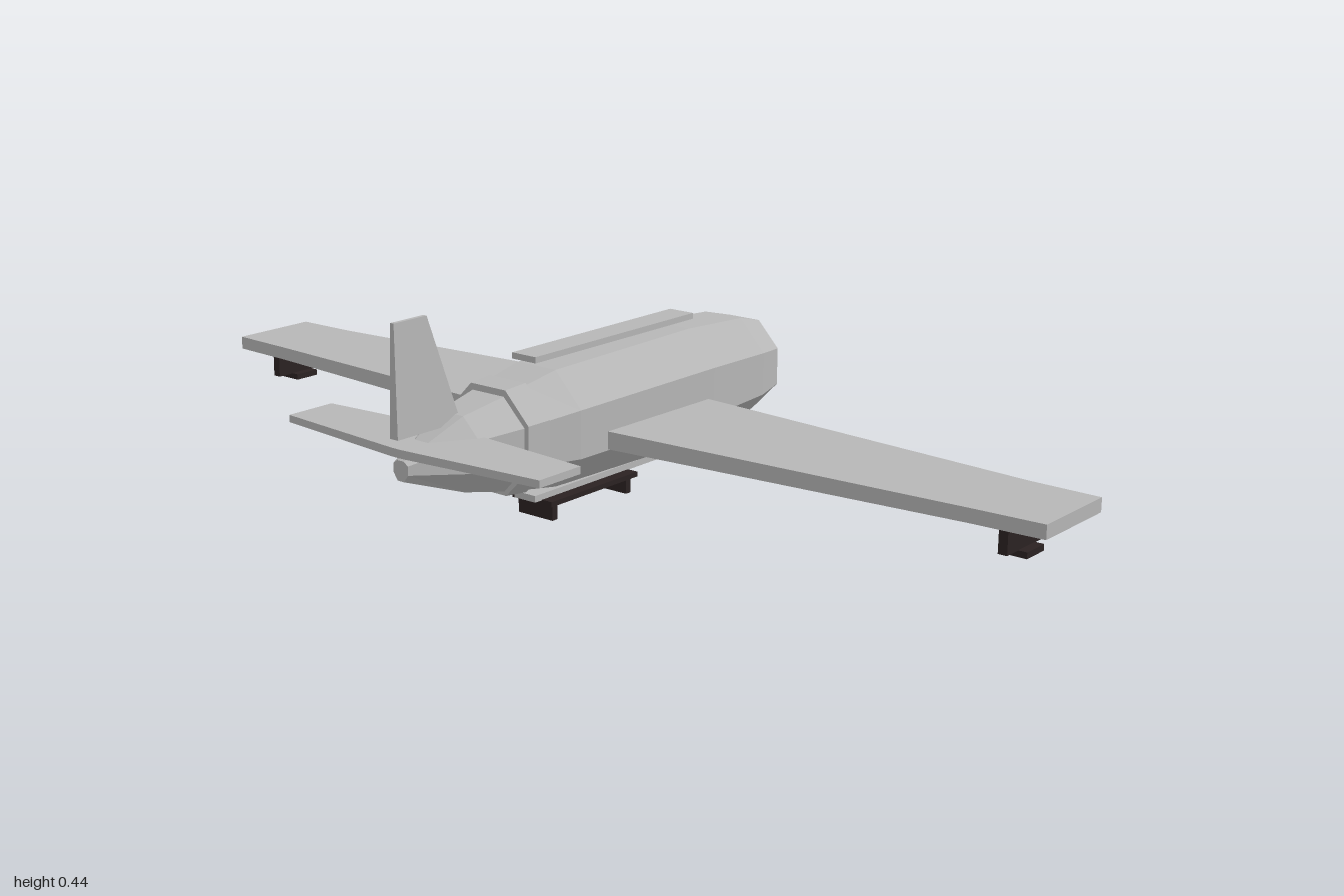
import * as THREE from 'three';

const grey = new THREE.MeshStandardMaterial({ color: 0xb6b6b6, flatShading: true });
grey.name = 'airframeGrey';
const dark = new THREE.MeshStandardMaterial({ color: 0x2b2222, flatShading: true });
dark.name = 'gearDark';

// Skin a row of equal-length rings ([x, y, z] corners) and close both ends.
function loft(rings) {
  const n = rings[0].length;
  const tris = [];
  for (let r = 0; r < rings.length - 1; r++) {
    for (let i = 0; i < n; i++) {
      const j = (i + 1) % n;
      const [a, b, c, d] = [rings[r][i], rings[r][j], rings[r + 1][j], rings[r + 1][i]];
      tris.push([a, b, c], [a, c, d]);
    }
  }
  const last = rings[rings.length - 1];
  for (let i = 1; i < n - 1; i++) {
    tris.push([rings[0][0], rings[0][i + 1], rings[0][i]], [last[0], last[i], last[i + 1]]);
  }
  // Turn the faces outward if the enclosed volume comes out negative
  const v = tris.map(t => t.map(p => new THREE.Vector3(...p)));
  const o = v[0][0].clone();
  const volume = v.reduce((s, [a, b, c]) =>
    s + a.clone().sub(o).dot(b.clone().sub(o).cross(c.clone().sub(o))), 0);
  if (volume < 0) tris.forEach(t => t.reverse());
  const geo = new THREE.BufferGeometry();
  geo.setAttribute('position', new THREE.Float32BufferAttribute(tris.flat(2), 3));
  geo.computeVertexNormals();
  return geo;
}

// Octagon across the body: x, top, upper crease, lower crease, bottom, half width
function octagon([x, top, up, low, bottom, w]) {
  const f = w * 0.43;
  return [[x, top, f], [x, up, w], [x, low, w], [x, bottom, f],
    [x, bottom, -f], [x, low, -w], [x, up, -w], [x, top, -f]];
}

// Rectangle across a wing: z, rear x, front x, bottom y, top y
const wingSection = ([z, x0, x1, y0, y1]) =>
  [[x0, y0, z], [x1, y0, z], [x1, y1, z], [x0, y1, z]];

export function createModel() {
  const model = new THREE.Group();
  const add = (name, geo, mat) => {
    const mesh = new THREE.Mesh(geo, mat);
    mesh.name = name;
    model.add(mesh);
  };
  // Box from its lower and upper limits, with z as centre and half width
  const box = (name, mat, x0, x1, y0, y1, half, z = 0) => {
    const geo = new THREE.BoxGeometry(x1 - x0, y1 - y0, half * 2);
    geo.translate((x0 + x1) / 2, (y0 + y1) / 2, z);
    add(name, geo, mat);
  };

  // Body, nose toward +x
  add('fuselage', loft([
    [-0.5, 0.193, 0.186, 0.169, 0.155, 0.018],
    [-0.37, 0.252, 0.213, 0.152, 0.109, 0.068],
    [-0.27, 0.27, 0.219, 0.144, 0.088, 0.09],
    [-0.22, 0.28, 0.223, 0.14, 0.08, 0.099],
    [-0.14, 0.295, 0.228, 0.134, 0.068, 0.11],
    [0.26, 0.301, 0.231, 0.133, 0.062, 0.115],
    [0.44, 0.29, 0.225, 0.137, 0.073, 0.105],
    [0.515, 0.271, 0.218, 0.142, 0.091, 0.087],
  ].map(octagon)), grey);
  add('rearBand', loft([
    [-0.273, 0.282, 0.224, 0.139, 0.081, 0.099],
    [-0.22, 0.286, 0.226, 0.138, 0.076, 0.104],
  ].map(octagon)), grey);

  // Wings and tailplane run tip to tip
  const span = half => [...half.map(([z, ...s]) => [-z, ...s]).reverse(), ...half];
  add('wings', loft(span([
    [0.1, -0.064, 0.244, 0.136, 0.171],
    [0.86, -0.01, 0.19, 0.14, 0.167],
    [1, -0.004, 0.187, 0.14, 0.167],
  ]).map(wingSection)), grey);
  add('tailplane', loft(span([
    [0.012, -0.509, -0.352, 0.201, 0.217],
    [0.31, -0.481, -0.375, 0.202, 0.216],
  ]).map(wingSection)), grey);

  // Upright fin, thinner toward its tip
  const finSection = ([y, x0, x1, h]) => [[x0, y, h], [x1, y, h], [x1, y, -h], [x0, y, -h]];
  add('tailFin', loft([
    [0.235, -0.515, -0.356, 0.01],
    [0.444, -0.513, -0.432, 0.004],
  ].map(finSection)), grey);

  // Spine and belly rails
  box('spineRail', grey, -0.175, 0.3, 0.311, 0.323, 0.029);
  box('bellyRail', grey, -0.175, 0.19, 0.04, 0.053, 0.026);

  // Central skid
  box('skidPlate', dark, -0.155, 0.1, 0.031, 0.041, 0.05);
  for (const x of [-0.138, 0.081]) {
    box('skidFoot', dark, x - 0.007, x + 0.007, 0, 0.032, 0.043);
  }

  // Outrigger skids near the wing tips
  for (const side of [-1, 1]) {
    box('tipPylon', dark, 0.016, 0.145, 0.088, 0.141, 0.009, side * 0.91);
    box('tipFoot', dark, 0.052, 0.11, 0.077, 0.089, 0.027, side * 0.91);
  }
  return model;
}
